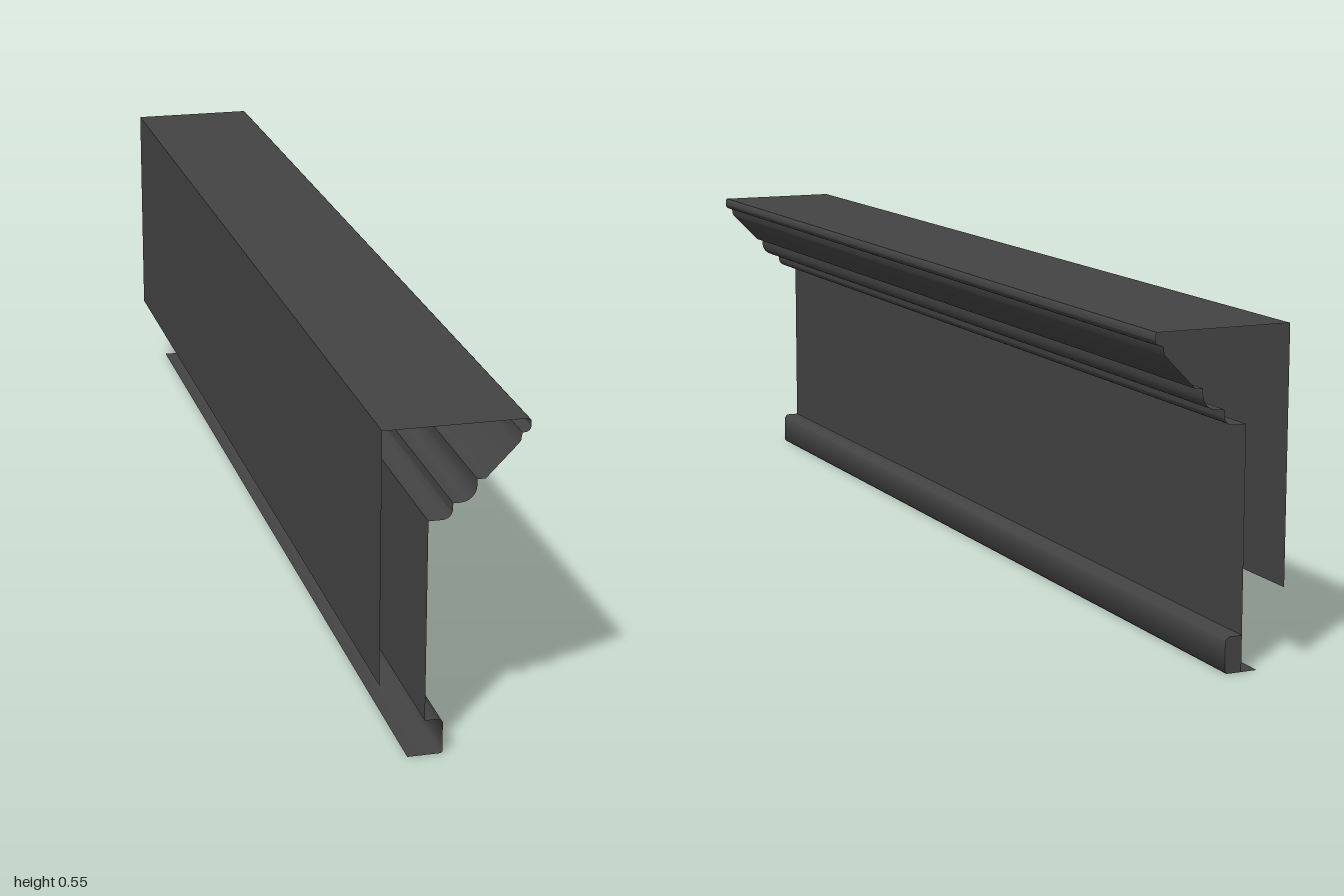
import * as THREE from 'three';
import { toCreasedNormals } from 'three/addons/utils/BufferGeometryUtils.js';

const HALF = 1; // half the run along z

export function createModel() {
  const group = new THREE.Group();
  group.name = 'corniceMoulding';
  const material = new THREE.MeshStandardMaterial({ color: 0x434343, side: THREE.DoubleSide });

  function add(name, geometry) {
    const mesh = new THREE.Mesh(geometry, material);
    mesh.name = name;
    group.add(mesh);
  }

  // Open sheet: an [x, y] profile run along z, outside on the left of travel
  function sheet(name, profile) {
    const pos = [];
    for (let i = 0; i < profile.length - 1; i++) {
      const [ax, ay] = profile[i];
      const [bx, by] = profile[i + 1];
      pos.push(ax, ay, HALF, bx, by, HALF, ax, ay, -HALF);
      pos.push(bx, by, HALF, bx, by, -HALF, ax, ay, -HALF);
    }
    const geo = new THREE.BufferGeometry();
    geo.setAttribute('position', new THREE.Float32BufferAttribute(pos, 3));
    add(name, toCreasedNormals(geo, 0.9));
  }

  // Points of an arc from angle a to angle b (degrees)
  function arc(cx, cy, rx, ry, a, b, n = 6) {
    return Array.from({ length: n + 1 }, (_, i) => {
      const t = THREE.MathUtils.degToRad(a + ((b - a) * i) / n);
      return [cx + rx * Math.cos(t), cy + ry * Math.sin(t)];
    });
  }

  sheet('backPanel', [[-0.118, 0.13], [-0.118, 0.553]]);
  sheet('topPanel', [[-0.118, 0.553], [0.115, 0.553]]);

  // Crown: rounded nose, slope, then two stepped quarter rounds
  sheet('crown', [
    [0.115, 0.553],
    [0.118, 0.55],
    ...arc(0.108, 0.541, 0.01, 0.01, 0, -90),
    [0.104, 0.531],
    [0.102, 0.518],
    [0.097, 0.512],
    [0.047, 0.461],
    [0.034, 0.461],
    ...arc(0.008, 0.451, 0.026, 0.026, 0, -90),
    [-0.004, 0.425],
    [-0.004, 0.418],
    ...arc(-0.02, 0.416, 0.016, 0.017, 0, -90),
    [-0.043, 0.399],
  ]);

  sheet('wallPanel', [[-0.043, 0.399], [-0.043, 0.06]]);

  // Base strip with eased edges and a flange running back underneath
  const base = [[-0.043, 0.06], [-0.02, 0.06], [-0.0135, 0.054], [-0.0135, 0.003], [-0.0165, 0]];
  sheet('baseStrip', [...base, [-0.071, 0]]);

  // Closed far end of the base strip
  const capShape = new THREE.Shape([...base, [-0.043, 0]].map(([x, y]) => new THREE.Vector2(x, y)));
  add('baseEndCap', new THREE.ShapeGeometry(capShape).translate(0, 0, -HALF));

  return group;
}
